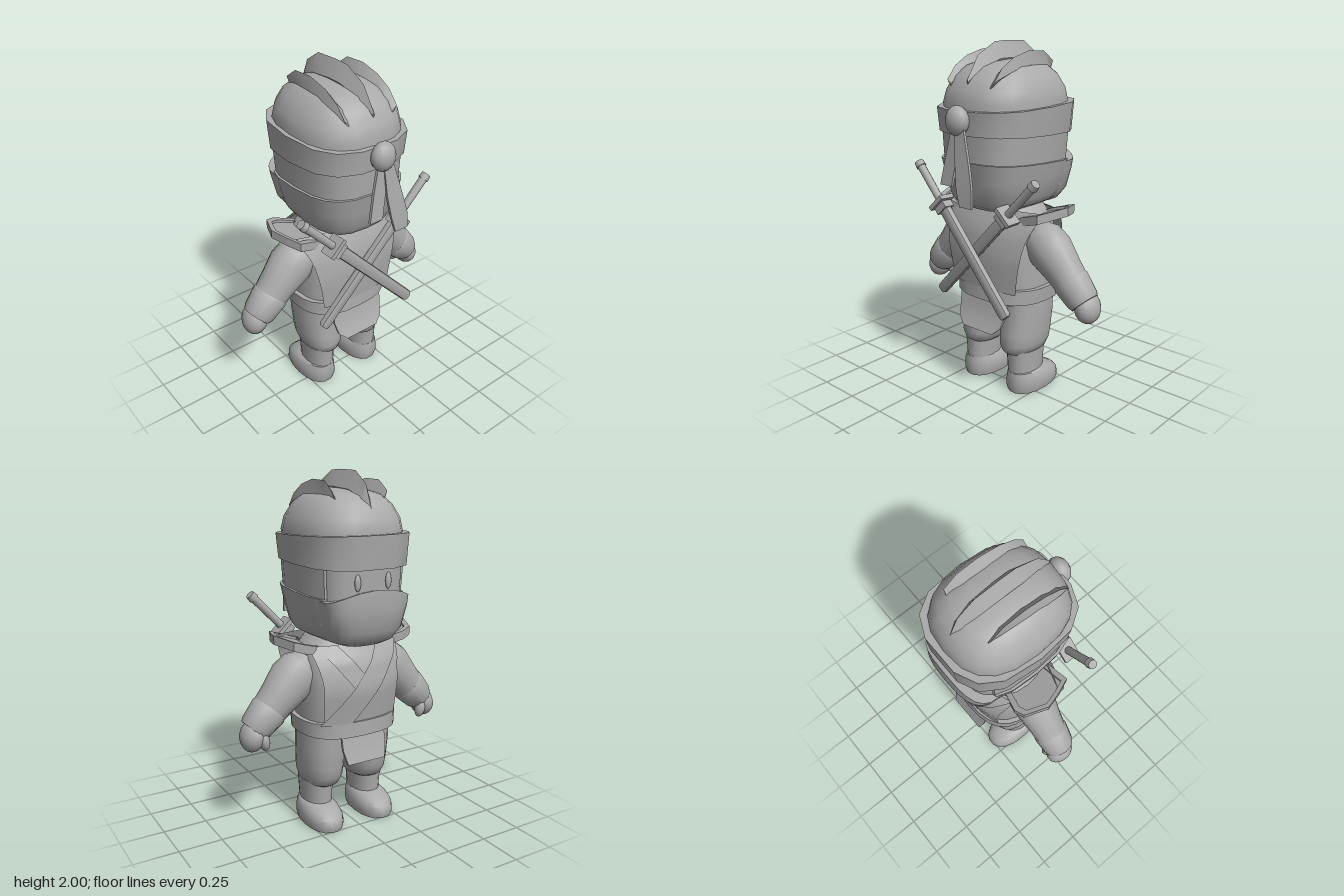
import * as THREE from 'three';
import { toCreasedNormals } from 'three/addons/utils/BufferGeometryUtils.js';

const grey = new THREE.MeshStandardMaterial({ color: 0xaaaaaa, side: THREE.DoubleSide });
grey.name = 'plain grey';

// Skin a stack of equal-length point loops and close both ends.
function loft(loops, crease = 0.75) {
  const n = loops[0].length, pos = [], idx = [];
  loops.forEach(l => l.forEach(p => pos.push(...p)));
  for (let r = 0; r < loops.length - 1; r++) for (let i = 0; i < n; i++) {
    const j = (i + 1) % n, a = r * n, b = a + n;
    idx.push(a + i, b + i, a + j, b + i, b + j, a + j);
  }
  [0, loops.length - 1].forEach((r, end) => {
    const c = pos.length / 3;
    pos.push(...[0, 1, 2].map(k => loops[r].reduce((s, p) => s + p[k], 0) / n));
    for (let i = 0; i < n; i++) {
      const j = (i + 1) % n;
      idx.push(c, r * n + (end ? j : i), r * n + (end ? i : j));
    }
  });
  const g = new THREE.BufferGeometry();
  g.setAttribute('position', new THREE.Float32BufferAttribute(pos, 3));
  g.setIndex(idx);
  return toCreasedNormals(g, crease);
}

// Horizontal rounded-square loop: half width rx, from zb (back) to zf.
function ring([y, rx, zb, zf], { n = 20, p = 2.6, cx = 0 } = {}) {
  const soft = v => Math.sign(v) * Math.abs(v) ** (2 / p);
  return Array.from({ length: n }, (_, i) => {
    const a = i / n * Math.PI * 2;
    return [cx + rx * soft(Math.cos(a)), y, (zb + zf) / 2 + (zb - zf) / 2 * soft(Math.sin(a))];
  });
}
const rings = (rows, o, map = p => p) => loft(rows.map(r => ring(r, o).map(map)));

// Cloth strip running downwards through [x, y, z, halfWidth] stations.
const slab = (st, t = 0.008) => loft(st.map(([x, y, z, w]) =>
  [[x + w, y, z + t], [x + w, y, z - t], [x - w, y, z - t], [x - w, y, z + t]]), 0.5);

// Piecewise linear lookup in [[key, value], ...]
function lookup(t, k) {
  for (let i = 1; i < t.length; i++) if (k <= t[i][0] || i === t.length - 1) {
    const f = (k - t[i - 1][0]) / (t[i][0] - t[i - 1][0]);
    return t[i - 1][1] + f * (t[i][1] - t[i - 1][1]);
  }
}

// Open sheet sampled from f(u, v)
function sheet(f, nu, nv) {
  const g = new THREE.PlaneGeometry(1, 1, nu, nv), a = g.attributes.position;
  for (let i = 0; i < a.count; i++) a.setXYZ(i, ...f(a.getX(i) + 0.5, a.getY(i) + 0.5));
  g.computeVertexNormals();
  return g;
}

export function createModel() {
  const model = new THREE.Group();
  const add = (name, geo, parent = model) => {
    const m = new THREE.Mesh(geo, grey);
    m.name = name;
    parent.add(m);
    return m;
  };
  const ball = (name, s, at, rz = 0) => {
    const m = add(name, new THREE.SphereGeometry(1, 14, 10));
    m.scale.set(...s); m.position.set(...at); m.rotation.z = rz;
    return m;
  };

  // Head: dome, open-fronted hood, face and mask
  const openFront = ([x, y, z]) => [x, y, Math.max(z, -0.285)];
  add('headDome', rings([[1.5, .285, .3, -.37], [1.68, .295, .31, -.38], [1.75, .28, .29, -.365], [1.82, .24, .245, -.325],
    [1.87, .19, .18, -.26], [1.895, .12, .1, -.18], [1.903, .05, 0, -.08]]));
  add('hood', rings([[1.32, .275, .3, -.37], [1.53, .288, .307, -.38]], { p: 3 }, openFront));
  add('neckWrap', rings([[1.1, .17, .19, -.27], [1.13, .225, .24, -.3], [1.17, .25, .265, -.33], [1.27, .275, .29, -.36],
    [1.37, .293, .315, -.37]], { p: 3 }, ([x, y, z]) => openFront([x, y + (y > 1.3 ? .05 * (z - .1) : 0), z])));
  add('face', rings([[1.2, .24, .1, -.35], [1.54, .255, .1, -.36]], { p: 3.4, n: 24 }));
  add('mask', rings([[1.088, .12, -.1, -.32], [1.11, .18, -.08, -.355], [1.17, .225, -.08, -.385], [1.29, .25, -.08, -.41],
    [1.4, .262, -.08, -.405]], { p: 3, n: 24 },
    ([x, y, z]) => [x, y > 1.35 ? y - .06 * Math.min(1, (x / .25) ** 2) : y, z]));
  for (const s of [1, -1]) ball('eye', [.018, .045, .012], [s * .095, 1.435, -.358]);

  // Headband with its knot and two tails
  add('headband', rings([[1.515, .307, .325, -.405], [1.665, .32, .335, -.415]], { n: 14, p: 2.8 },
    ([x, y, z]) => [x, y + (y > 1.6 ? -.035 * z : .03 * z), z]));
  ball('knot', [.072, .08, .055], [0, 1.605, .35]);
  add('shortTail', slab([[-.005, 1.57, .35, .03], [-.03, 1.42, .36, .04], [-.06, 1.26, .375, .042]]));
  add('longTail', slab([[.025, 1.57, .355, .03], [.06, 1.38, .375, .05], [.085, 1.26, .39, .055], [.1, 1.165, .395, .042]]));

  // Crest fins: leaf-shaped ridges along the crown
  const fin = (name, x, lean, wide, st) => add(name, loft(st.map(([z, top, low, w]) =>
    [[x + wide * w, (top + low) / 2, z], [x - lean, low, z], [x - wide * w, (top + low) / 2, z], [x + lean, top, z]]), 0.4));
  fin('middleFin', 0, 0, .045, [[-.34, 1.79, 1.77, .1], [-.28, 1.93, 1.78, .55], [-.18, 1.995, 1.8, .9], [-.03, 2, 1.82, 1],
    [.06, 1.995, 1.82, 1], [.19, 1.93, 1.79, .6], [.27, 1.81, 1.78, .1]]);
  for (const s of [1, -1]) fin('sideFin', s * .15, s * .018, .033, [[-.23, 1.89, 1.8, .1], [-.15, 1.945, 1.8, .6],
    [-.02, 1.95, 1.8, .9], [.1, 1.92, 1.79, 1], [.19, 1.87, 1.78, .8], [.25, 1.8, 1.76, .2]]);

  // Torso, pelvis, belt and collar
  add('torso', rings([[.55, .265, .16, -.25], [.66, .27, .17, -.28], [.85, .265, .185, -.305], [1, .26, .17, -.27],
    [1.07, .22, .13, -.22], [1.12, .14, .08, -.17]], { n: 24 }));
  add('pelvis', rings([[.39, .12, .06, -.13], [.44, .2, .1, -.19], [.58, .265, .14, -.24]]));
  add('belt', rings([[.57, .292, .19, -.3], [.655, .297, .185, -.297]], { n: 24 }));
  add('lowerCollar', rings([[1.06, .25, .14, -.22], [1.11, .21, .11, -.2], [1.125, .19, .1, -.19]]));
  add('upperCollar', rings([[1.1, .18, .1, -.18], [1.135, .175, .09, -.17], [1.15, .14, .06, -.14]]));

  // Vest panels and crossed lapels following the chest
  const backZ = [[.64, .185], [.85, .2], [1, .18], [1.1, .135]];
  const chestZ = [[.64, -.285], [.85, -.316], [1, -.285], [1.1, -.205]];
  const halfWidth = [[.64, .235], [.75, .25], [.95, .29], [1.05, .33], [1.11, .37]];
  const frontWidth = [[.64, .23], [.9, .24], [1.08, .28]];
  add('vestBack', sheet((u, v) => {
    const y = .64 + .47 * v, x = (2 * u - 1) * lookup(halfWidth, y);
    return [x, y, lookup(backZ, y) - .5 * x * x];
  }, 8, 8));
  const chest = (x, y, off) => [x, y, lookup(chestZ, y) + .9 * x * x - off];
  add('vestFront', sheet((u, v) => {
    const y = .64 + .44 * v;
    return chest((1 - 2 * u) * lookup(frontWidth, y), y, 0);
  }, 8, 8));
  const lapel = (name, a, b, w, off) => add(name, sheet((u, v) => {
    const k = (u - .5) * w;
    return chest(a[0] + (b[0] - a[0]) * v + k, a[1] + (b[1] - a[1]) * v, off);
  }, 3, 10));
  lapel('underLapel', [.19, 1.08], [-.01, .82], .12, .008);
  lapel('overLapel', [-.19, 1.08], [.17, .65], .17, .016);

  // Hanging cloths under the belt
  add('backCloth', slab([[0, .6, .15, .175], [0, .5, .165, .172], [0, .43, .19, .155], [0, .39, .21, .11]]));
  add('frontCloth', slab([[0, .6, -.265, .14], [0, .5, -.285, .138], [0, .42, -.31, .12]]));

  for (const s of [1, -1]) {
    // Shoulder pad: raised plate with a rim
    const outline = [[.2, -.17], [.32, -.2], [.375, -.18], [.428, -.05], [.4, .05], [.365, .135], [.2, .12]];
    const path = (k, T) => new T(outline.map(([x, z]) =>
      new THREE.Vector2(s * (.3 + (x - .3) * k), -.03 + (z + .03) * k)));
    const plate = (name, shape, depth, lift) => {
      const g = new THREE.ExtrudeGeometry(shape, { depth, bevelEnabled: false });
      g.rotateX(Math.PI / 2);
      const a = g.attributes.position;
      for (let i = 0; i < a.count; i++) a.setY(i, a.getY(i) + lift + .3 * (Math.abs(a.getX(i)) - .3));
      g.computeVertexNormals();
      add(name, g);
    };
    plate('shoulderPad', path(1, THREE.Shape), .035, 1.085);
    const rim = path(1, THREE.Shape);
    rim.holes.push(path(.8, THREE.Path));
    plate('shoulderPadRim', rim, .02, 1.1);

    // Arm: sleeve, cuff, hand and thumb
    const arm = new THREE.Group();
    arm.name = 'arm';
    arm.position.set(s * .585, .6, -.045);
    arm.rotation.z = s * .765;
    model.add(arm);
    const round = { n: 14, p: 2 };
    add('sleeve', rings([[.13, .095, .095, -.095], [.25, .112, .105, -.105], [.38, .135, .125, -.12], [.47, .12, .12, -.11],
      [.53, .07, .07, -.07]], round), arm);
    add('cuff', rings([[.035, .082, .085, -.085], [.06, .092, .095, -.095], [.17, .107, .105, -.105], [.185, .1, .1, -.1]], round), arm);
    ball('hand', [.068, .09, .086], [s * .572, .6, -.055], s * .2);
    ball('thumb', [.03, .055, .035], [s * .525, .575, -.105], -s * .2);

    // Leg: baggy trouser, ankle wrap and shoe
    add('trouserLeg', rings([[.235, .08, .1, -.15], [.25, .098, .12, -.175], [.3, .115, .135, -.2], [.36, .12, .13, -.21],
      [.48, .128, .12, -.22], [.59, .125, .12, -.225]], { cx: s * .147, n: 18, p: 2.3 }));
    add('ankle', rings([[.06, .08, .1, -.14], [.11, .08, .1, -.14], [.26, .088, .11, -.15]], { cx: s * .165, n: 16, p: 2.2 }));
    add('shoe', rings([[0, .1, .1, -.258], [.03, .108, .108, -.268], [.07, .108, .108, -.258], [.1, .1, .106, -.225],
      [.125, .085, .102, -.16], [.135, .06, .08, -.12]], { cx: s * .17, n: 18, p: 2.3 }));

    // Sheathed sword slung across the back
    const sword = new THREE.Group();
    sword.name = 'sword';
    const top = new THREE.Vector3(-s * .435, 1.32, .235);
    const tip = new THREE.Vector3(s * .285, .565, s > 0 ? .29 : .212);
    sword.position.copy(top).add(tip).multiplyScalar(.5);
    sword.quaternion.setFromUnitVectors(new THREE.Vector3(0, 1, 0), top.sub(tip).normalize());
    model.add(sword);
    add('sheath', rings([[-.52, .026, .018, -.018], [-.505, .034, .022, -.022], [.22, .036, .024, -.024]], { n: 10, p: 3 }), sword);
    add('guard', new THREE.BoxGeometry(.12, .025, .095), sword).position.y = .235;
    add('collarBand', new THREE.BoxGeometry(.085, .04, .065), sword).position.y = .2;
    add('grip', new THREE.CylinderGeometry(.024, .022, .25, 10), sword).position.y = .37;
    add('pommel', new THREE.CylinderGeometry(.026, .03, .035, 10), sword).position.y = .5;
  }
  return model;
}
